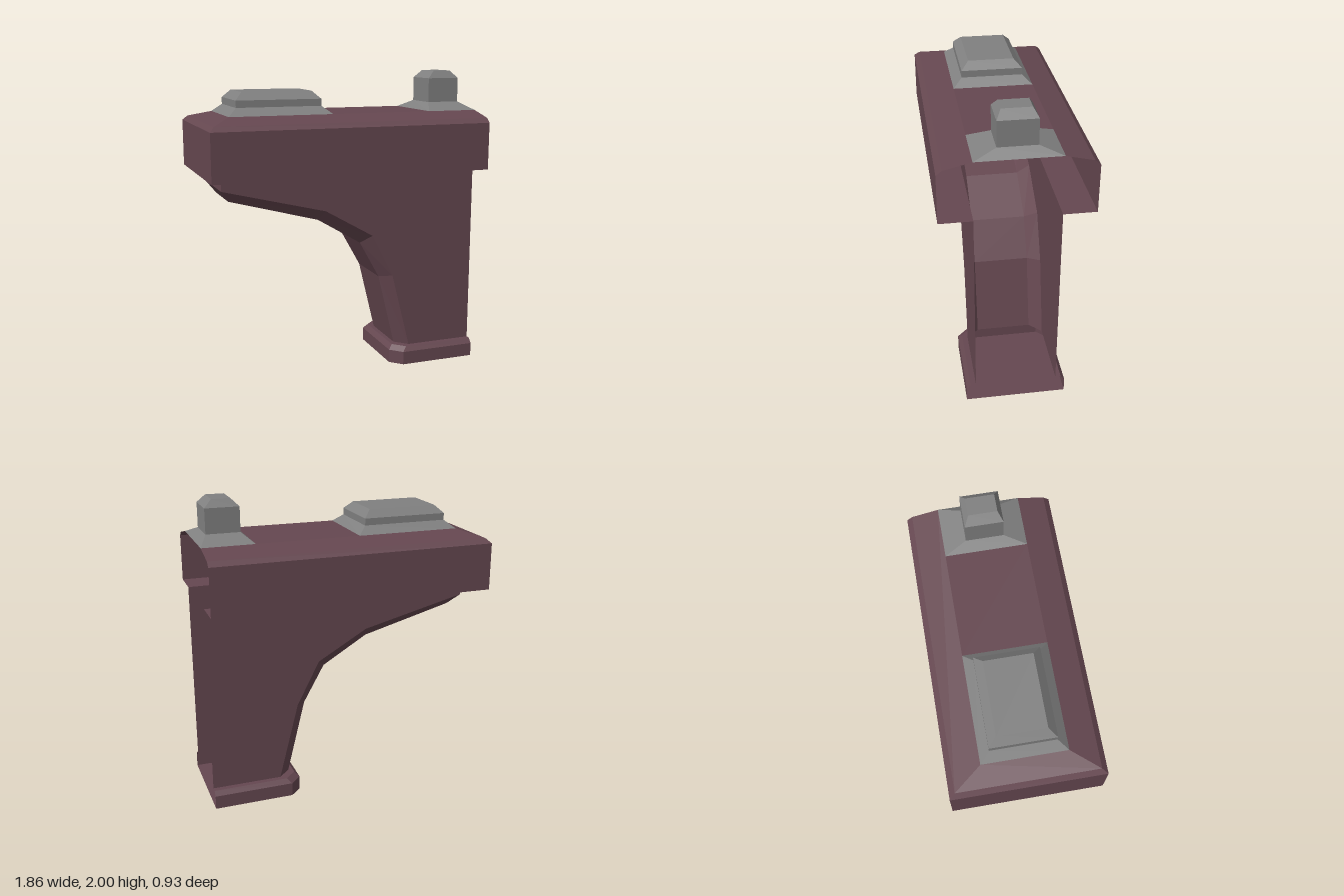
import * as THREE from 'three';

const END = 0.93; // open end of the shell

// Flat-faced skin stretched over rows of [x, y, z] points
function skin(rows) {
  const pos = [];
  for (let r = 0; r < rows.length - 1; r++) {
    for (let i = 0; i < rows[r].length - 1; i++) {
      const a = rows[r][i], b = rows[r][i + 1], c = rows[r + 1][i + 1], d = rows[r + 1][i];
      pos.push(...a, ...d, ...c, ...a, ...c, ...b);
    }
  }
  const g = new THREE.BufferGeometry();
  g.setAttribute('position', new THREE.Float32BufferAttribute(pos, 3));
  g.computeVertexNormals();
  return g;
}

// U-shaped section, open towards +x
const beamRow = (x0, hz, y) => [[END, y, hz], [x0, y, hz], [x0, y, -hz], [END, y, -hz]];

// The same with cut corners
const footRow = (x0, cut, hz, y) => [
  [END, y, hz], [x0 + cut, y, hz], [x0, y, hz - cut],
  [x0, y, cut - hz], [x0 + cut, y, -hz], [END, y, -hz],
];

// Closed rectangular section
const frameRow = ([x0, x1, hz, y]) => [
  [x1, y, hz], [x0, y, hz], [x0, y, -hz], [x1, y, -hz], [x1, y, hz],
];

export function createModel() {
  const model = new THREE.Group();
  const maroon = new THREE.MeshStandardMaterial({ color: 0x654750, side: THREE.DoubleSide });
  maroon.name = 'maroon';
  const grey = new THREE.MeshStandardMaterial({ color: 0x808080, side: THREE.DoubleSide });
  grey.name = 'grey';

  const add = (name, geometry, material, parent = model) => {
    const mesh = new THREE.Mesh(geometry, material);
    mesh.name = name;
    parent.add(mesh);
    return mesh;
  };

  // Beam: ledge underneath, walls and sloping shoulders
  add('beam', skin([
    beamRow(-0.83, 0.26, 1.36),
    beamRow(-0.93, 0.465, 1.36),
    beamRow(-0.93, 0.465, 1.67),
    beamRow(-0.90, 0.43, 1.70),
    beamRow(-0.77, 0.26, 1.74),
  ]), maroon);

  // Deck between the two caps
  add('deck', skin([
    [[-0.09, 1.74, -0.26], [0.59, 1.74, -0.26]],
    [[-0.09, 1.74, 0.26], [0.59, 1.74, 0.26]],
  ]), maroon);

  // Bracket: outer edge of the curve and its chamfered inner edge
  const outer = [[-0.83, 1.36], [-0.83, 1.28], [-0.83, 1.28], [-0.14, 1.11], [0.19, 0.92], [0.34, 0.63], [0.47, 0.12]];
  const inner = [[-0.83, 1.36], [-0.83, 1.28], [-0.77, 1.20], [-0.17, 1.04], [0.13, 0.86], [0.27, 0.61], [0.39, 0.12]];
  add('bracketCurve', skin(outer.map((o, i) => [
    [...o, -0.26], [...inner[i], -0.18], [...inner[i], 0.18], [...o, 0.26],
  ])), maroon);

  // Bracket side walls
  const outline = [...outer.filter((_, i) => i !== 2), [END, 0.12], [END, 1.36]];
  const wall = new THREE.ShapeGeometry(new THREE.Shape(outline.map(([x, y]) => new THREE.Vector2(x, y))));
  add('bracketWallFront', wall, maroon).position.z = 0.26;
  const back = add('bracketWallBack', wall.clone().rotateY(Math.PI).scale(1, 1, 1), maroon);
  back.geometry.dispose();
  back.geometry = skinBack(wall);
  back.position.z = -0.26;

  // Foot: plinth with a bevelled rim that meets the bracket
  const foot = new THREE.Group();
  foot.name = 'foot';
  model.add(foot);
  const sole = footRow(0.33, 0.075, 0.32, 0);
  add('plinth', skin([
    sole,
    footRow(0.33, 0.075, 0.32, 0.09),
    footRow(0.36, 0.075, 0.295, 0.12),
    footRow(0.39, 0.08, 0.26, 0.12),
  ]), maroon, foot);
  add('sole', skin([[sole[5], sole[4], sole[3]], [sole[0], sole[1], sole[2]]]), maroon, foot);

  // Caps on the beam: flared skirt, upright sides, bevelled top
  const caps = {
    wideCap: [[-0.77, -0.09, 0.26, 1.74], [-0.71, -0.15, 0.20, 1.79], [-0.71, -0.15, 0.20, 1.835], [-0.66, -0.20, 0.15, 1.885]],
    postCap: [[0.59, 0.93, 0.26, 1.74], [0.65, 0.87, 0.12, 1.79], [0.65, 0.87, 0.12, 1.95], [0.70, 0.82, 0.09, 2.0]],
  };
  for (const [name, levels] of Object.entries(caps)) {
    const cap = new THREE.Group();
    cap.name = name;
    model.add(cap);
    const rows = levels.map(frameRow);
    add(name + 'Sides', skin(rows), grey, cap);
    const t = rows[rows.length - 1];
    add(name + 'Top', skin([[t[0], t[1]], [t[3], t[2]]]), grey, cap);
  }
  return model;
}

// Copy of a flat wall with its faces turned the other way
function skinBack(wall) {
  const g = wall.clone();
  g.setIndex([...wall.index.array].reverse());
  g.computeVertexNormals();
  return g;
}
